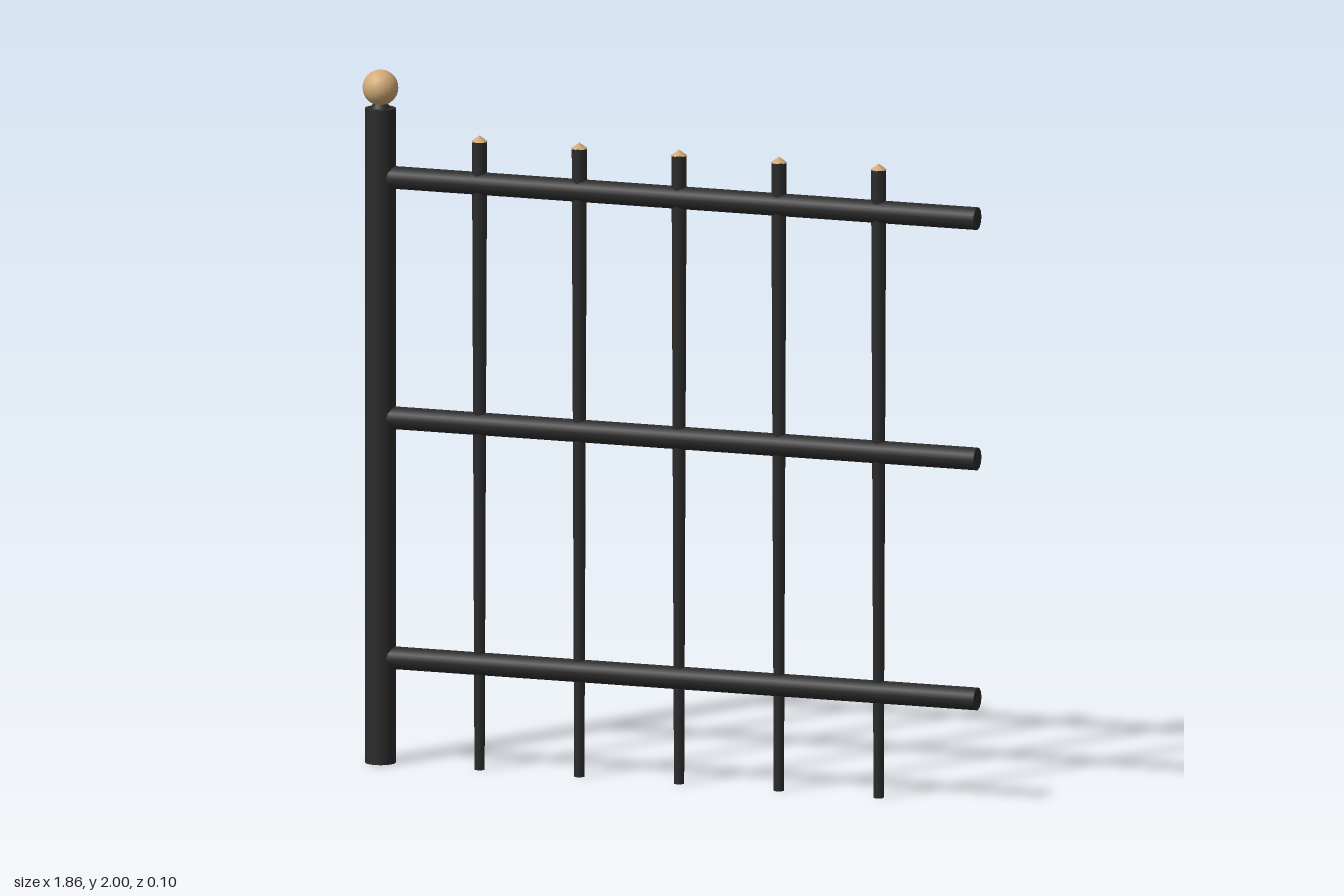
import * as THREE from 'three';

const iron = new THREE.MeshStandardMaterial({ color: 0x2b2b2b });
iron.name = 'black iron';
const wood = new THREE.MeshStandardMaterial({ color: 0xd2aa78 });
wood.name = 'tan finial';

export function createModel() {
  const model = new THREE.Group();
  const add = (name, geometry, material, x, y) => {
    const mesh = new THREE.Mesh(geometry, material);
    mesh.name = name;
    mesh.position.set(x, y, 0);
    model.add(mesh);
    return mesh;
  };

  // End post with a low collar and a ball on top
  const postX = -0.88;
  add('post', new THREE.CylinderGeometry(0.044, 0.044, 1.89, 16), iron, postX, 0.945);
  add('postCollar', new THREE.CylinderGeometry(0.018, 0.03, 0.02, 16), iron, postX, 1.898);
  add('postBall', new THREE.SphereGeometry(0.051, 24, 16), wood, postX, 1.949);

  // Round horizontal rails, running from inside the post
  const railStart = -0.86, railEnd = 0.927;
  for (const y of [0.305, 0.998, 1.692]) {
    const rail = add('rail', new THREE.CylinderGeometry(0.033, 0.033, railEnd - railStart, 12),
      iron, (railStart + railEnd) / 2, y);
    rail.rotation.z = Math.PI / 2;
  }

  // Pickets, narrowing towards the ground, each with a shallow pointed cap
  for (let i = 0; i < 5; i++) {
    const x = -0.58 + i * 0.302;
    add('picket', new THREE.CylinderGeometry(0.023, 0.0155, 1.814, 8), iron, x, 0.907);
    add('picketCap', new THREE.ConeGeometry(0.024, 0.018, 8), wood, x, 1.822);
  }

  return model;
}
